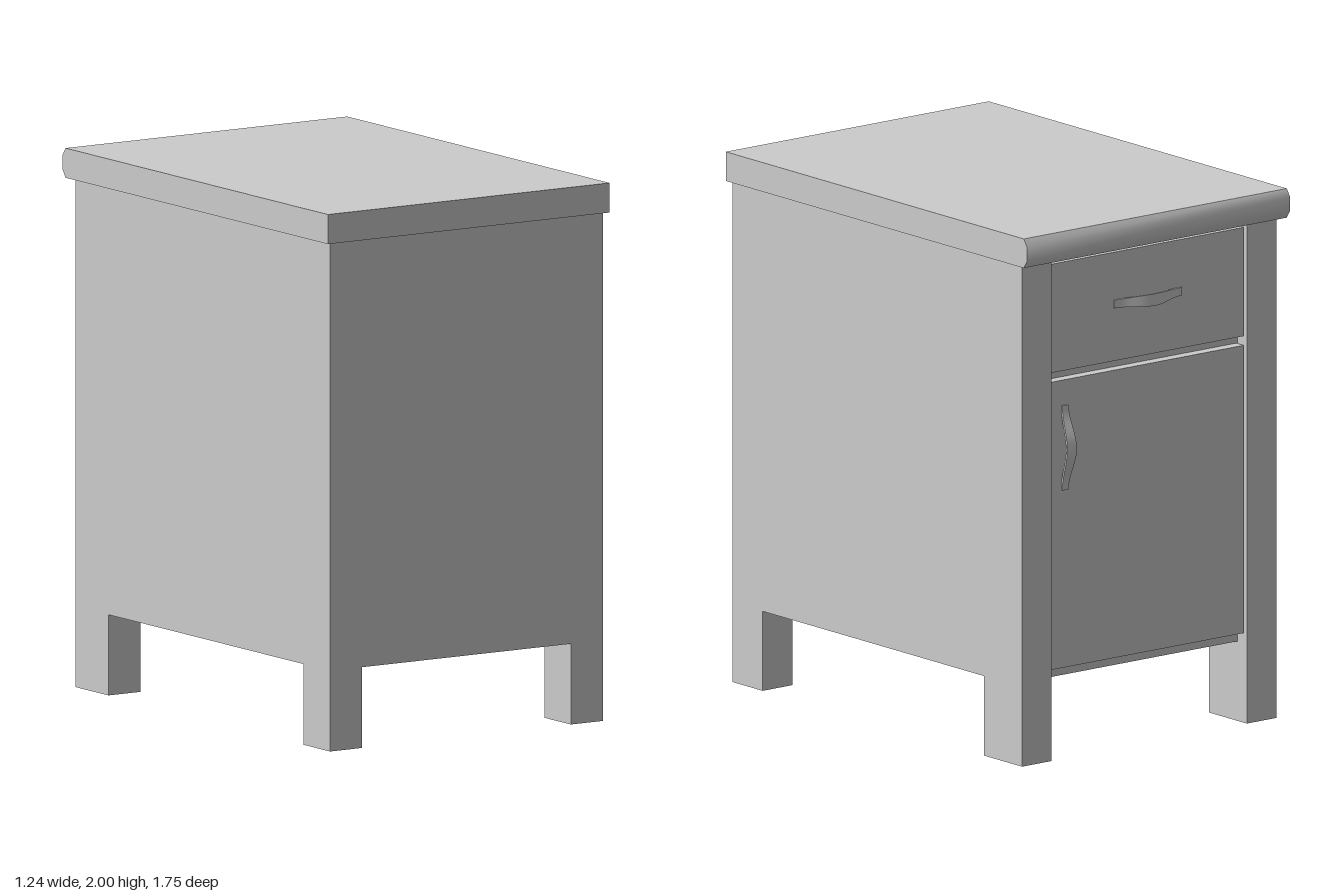
import * as THREE from 'three';
import { toCreasedNormals } from 'three/addons/utils/BufferGeometryUtils.js';

const material = new THREE.MeshStandardMaterial({ color: 0xcccccc });

function add(group, name, geometry, x = 0, y = 0, z = 0) {
  const mesh = new THREE.Mesh(geometry, material);
  mesh.name = name;
  mesh.position.set(x, y, z);
  group.add(mesh);
  return mesh;
}

// Box given by its limits on each axis
function addBox(group, name, [x0, x1], [y0, y1], [z0, z1]) {
  return add(group, name, new THREE.BoxGeometry(x1 - x0, y1 - y0, z1 - z0),
    (x0 + x1) / 2, (y0 + y1) / 2, (z0 + z1) / 2);
}

// Side profile of [z, y] points, extruded along x and centred
function sideProfile(points, width) {
  const shape = new THREE.Shape(points.map(([z, y]) => new THREE.Vector2(z, y)));
  const geometry = new THREE.ExtrudeGeometry(shape, { depth: width, bevelEnabled: false });
  return geometry.rotateY(-Math.PI / 2).translate(width / 2, 0, 0);
}

// Bowed strap handle along x, bulging towards -z and widest in the middle
function handleGeometry() {
  const length = 0.32, rise = 0.038;
  const geometry = new THREE.BoxGeometry(length, 0.03, 0.008, 24, 1, 1);
  const p = geometry.attributes.position;
  for (let i = 0; i < p.count; i++) {
    const bow = 0.5 * (1 + Math.cos((2 * Math.PI * p.getX(i)) / length));
    p.setY(i, p.getY(i) * (1 + 0.5 * bow));
    p.setZ(i, p.getZ(i) - rise * bow);
  }
  return toCreasedNormals(geometry, 0.7);
}

export function createModel() {
  const model = new THREE.Group();
  model.name = 'bedsideCabinet';

  // Worktop with a rounded nose over the door side
  const top = sideProfile([
    [0.88, 1.89], [0.88, 2], [-0.855, 2], [-0.875, 1.97], [-0.875, 1.92], [-0.855, 1.89],
  ], 1.24);
  add(model, 'worktop', toCreasedNormals(top, 0.8));

  // Side panels, each with its two legs
  const side = [
    [0.865, 0], [0.865, 1.89], [-0.82, 1.89], [-0.82, 0],
    [-0.6, 0], [-0.6, 0.3], [0.69, 0.3], [0.69, 0],
  ];
  for (const s of [1, -1]) {
    add(model, s > 0 ? 'leftSide' : 'rightSide', sideProfile(side, 0.14), s * 0.53);
  }

  // Carcass between the sides; its recessed face shows as the rails
  addBox(model, 'carcass', [-0.46, 0.46], [0.3, 1.89], [-0.765, 0.865]);

  // Drawer and door fronts
  addBox(model, 'drawerFront', [-0.455, 0.455], [1.46, 1.87], [-0.808, -0.765]);
  addBox(model, 'door', [-0.455, 0.455], [0.34, 1.425], [-0.808, -0.765]);

  // Handles
  const handle = handleGeometry();
  add(model, 'drawerHandle', handle, 0, 1.675, -0.81);
  add(model, 'doorHandle', handle, 0.39, 1.17, -0.81).rotation.z = Math.PI / 2;

  return model;
}
